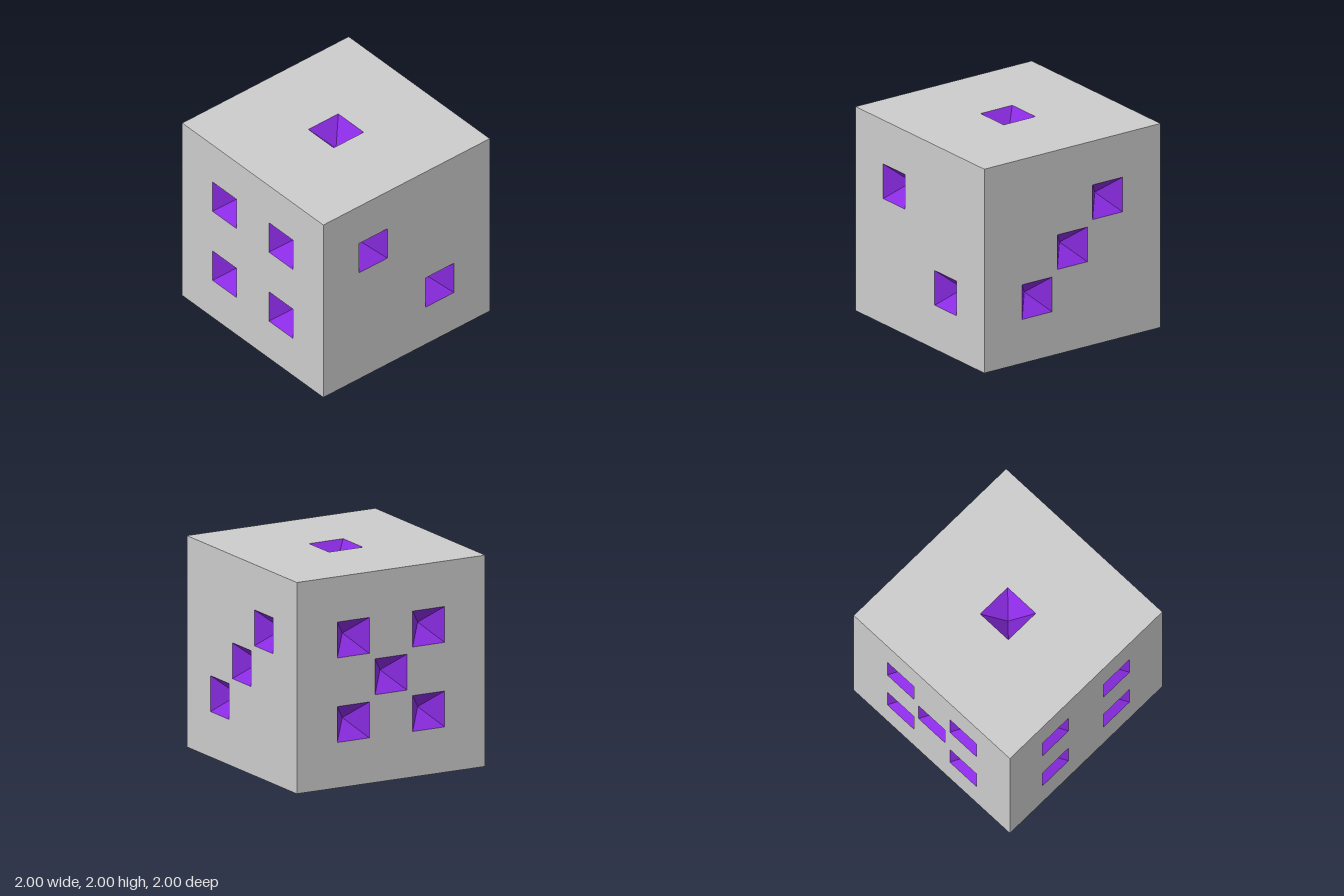
import * as THREE from 'three';

const PIT_DEPTH = 0.2;
const S = 0.4; // spacing of the pits from the face centre

// Four corners of a square, counter-clockwise
const square = (x, y, h) => [[-1, -1], [1, -1], [1, 1], [-1, 1]]
  .map(([a, b]) => new THREE.Vector2(x + a * h, y + b * h));

// Inverted pyramid sunk behind the z = 0 plane, open towards +z
function pitGeometry(half) {
  const corners = square(0, 0, half);
  const points = [];
  corners.forEach((c, i) => {
    const n = corners[(i + 1) % 4];
    points.push(c.x, c.y, 0, n.x, n.y, 0, 0, 0, -PIT_DEPTH);
  });
  const geometry = new THREE.BufferGeometry();
  geometry.setAttribute('position', new THREE.Float32BufferAttribute(points, 3));
  geometry.computeVertexNormals();
  return geometry;
}

export function createModel() {
  const grey = new THREE.MeshStandardMaterial({ color: 0xcccccc });
  const violet = new THREE.MeshStandardMaterial({ color: 0x8a2be2 });
  const model = new THREE.Group();
  model.name = 'die';

  const corners = [[-S, -S], [S, -S], [S, S], [-S, S]];
  const faces = [
    { name: 'top', rot: [-Math.PI / 2, 0], half: 0.18, pits: [[0, 0]] },
    { name: 'front', rot: [0, 0], half: 0.17, pits: [[-S, S], [S, -S]] },
    { name: 'right', rot: [0, Math.PI / 2], half: 0.17, pits: [[-S, -S], [0, 0], [S, S]] },
    { name: 'left', rot: [0, -Math.PI / 2], half: 0.17, pits: corners },
    { name: 'back', rot: [0, Math.PI], half: 0.17, pits: [...corners, [0, 0]] },
    { name: 'bottom', rot: [Math.PI / 2, 0], half: 0.17, pits: [...corners, [0, -S], [0, S]] },
  ];

  for (const { name, rot, half, pits } of faces) {
    const side = new THREE.Group();
    side.name = name + 'Side';
    side.position.y = 1;
    side.rotation.set(rot[0], rot[1], 0);

    // Flat face with a square opening for each pit
    const shape = new THREE.Shape(square(0, 0, 1));
    shape.holes = pits.map(([x, y]) => new THREE.Path(square(x, y, half).reverse()));
    const panel = new THREE.Mesh(new THREE.ShapeGeometry(shape), grey);
    panel.name = name + 'Face';
    panel.position.z = 1;
    side.add(panel);

    // Coloured pyramid pits
    const geometry = pitGeometry(half);
    pits.forEach(([x, y], i) => {
      const pit = new THREE.Mesh(geometry, violet);
      pit.name = name + 'Pit' + (i + 1);
      pit.position.set(x, y, 1);
      side.add(pit);
    });
    model.add(side);
  }
  return model;
}
